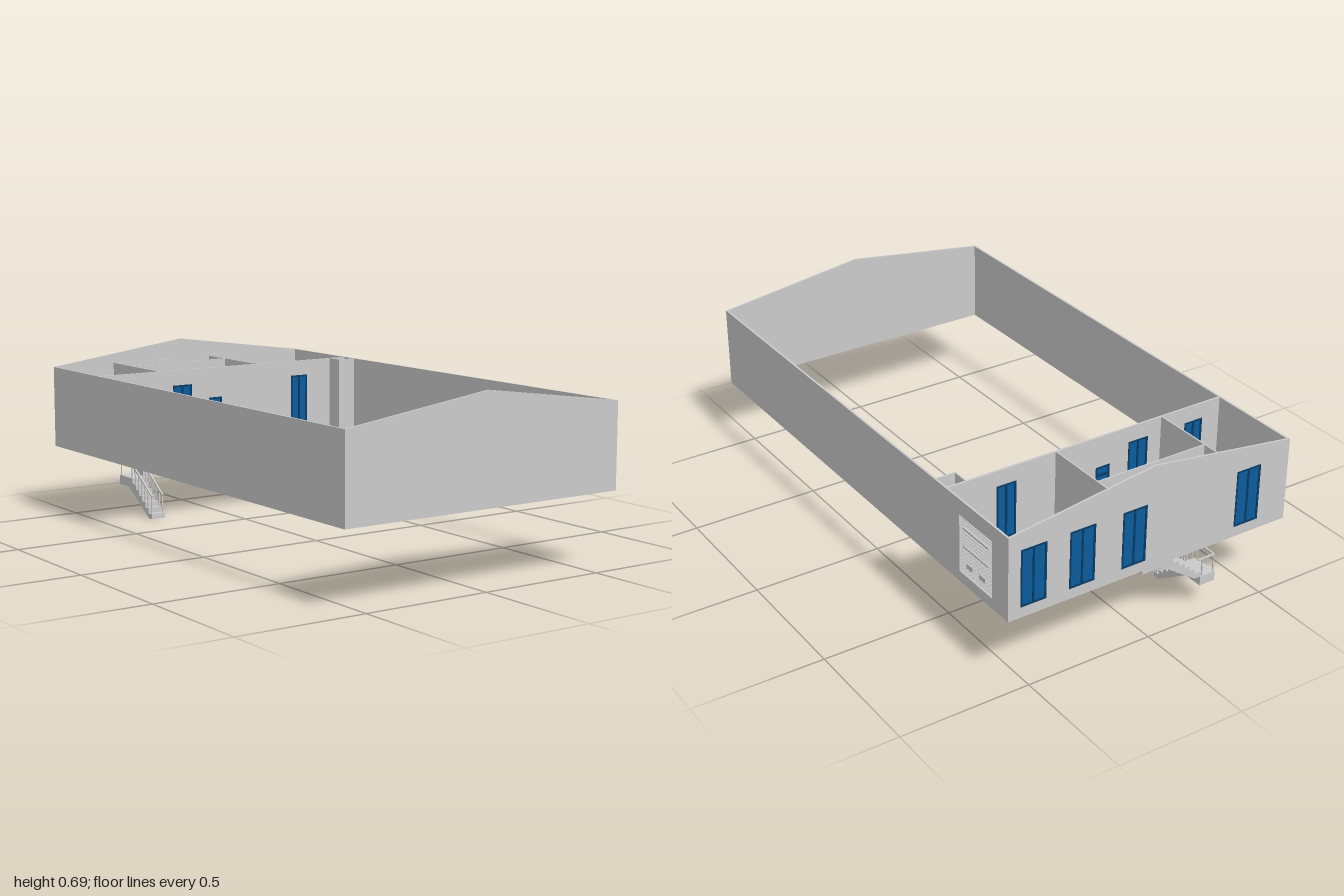
import * as THREE from 'three';

const grey = new THREE.MeshStandardMaterial({ color: 0xcccccc, side: THREE.DoubleSide });
const blue = new THREE.MeshStandardMaterial({ color: 0x0b5c9c });
const darkBlue = new THREE.MeshStandardMaterial({ color: 0x083c66 });

const W = 0.585, T = 0.008, BASE = 0.285, EAVE = 0.605, RIDGE = 0.685, ROOM = -0.63;

export function createModel() {
  const model = new THREE.Group();
  const add = (name, geometry, material = grey, parent = model) => {
    const mesh = new THREE.Mesh(geometry, material);
    mesh.name = name;
    parent.add(mesh);
    return mesh;
  };
  // box given by its low and high corners
  const box = (name, x0, x1, y0, y1, z0, z1, material, parent) => {
    const m = add(name, new THREE.BoxGeometry(x1 - x0, y1 - y0, z1 - z0), material, parent);
    m.position.set((x0 + x1) / 2, (y0 + y1) / 2, (z0 + z1) / 2);
    return m;
  };
  // upright slab from an outline, with rectangular openings [x0, x1, y0, y1]
  const slab = (name, outline, openings, depth = T) => {
    const shape = new THREE.Shape(outline.map(p => new THREE.Vector2(...p)));
    for (const [a, b, c, d] of openings) {
      shape.holes.push(new THREE.Path([[a, c], [a, d], [b, d], [b, c]].map(p => new THREE.Vector2(...p))));
    }
    return add(name, new THREE.ExtrudeGeometry(shape, { depth, bevelEnabled: false }));
  };
  // thin bar between two points
  const bar = (name, a, b, parent, r = 0.002) => {
    const p = new THREE.Vector3(...a), q = new THREE.Vector3(...b);
    const m = add(name, new THREE.BoxGeometry(r * 2, r * 2, p.distanceTo(q)), grey, parent);
    m.position.copy(p).add(q).multiplyScalar(0.5);
    m.lookAt(q);
  };
  // two-leaf window filling an opening
  const glazing = ([x0, x1, y0, y1], z, transom) => {
    const g = new THREE.Group();
    g.name = 'window';
    model.add(g);
    const f = 0.007, z0 = z - 0.001, z1 = z + T + 0.001, mid = (x0 + x1) / 2;
    box('glass', x0, x1, y0, y1, z + 0.002, z + T - 0.002, blue, g);
    for (const x of [x0, x1 - f]) box('frameSide', x, x + f, y0, y1, z0, z1, darkBlue, g);
    for (const y of [y0, y1 - f]) box('frameRail', x0, x1, y, y + f, z0, z1, darkBlue, g);
    if (transom) box('transom', x0, x1, y1 - 0.04, y1 - 0.03, z0, z1, darkBlue, g);
    else box('mullion', mid - f / 2, mid + f / 2, y0, y1, z0, z1, darkBlue, g);
  };

  // gabled end walls
  const gable = [[-W, BASE], [W, BASE], [W, EAVE], [0, RIDGE], [-W, EAVE]];
  const backWindows = [[0.435, 0.537], [0.241, 0.344], [0.03, 0.13], [-0.46, -0.355]].map(w => [...w, 0.325, 0.545]);
  slab('frontWall', gable, []).position.z = 1 - T;
  slab('backWall', gable, backWindows).position.z = -1;
  backWindows.forEach(w => glazing(w, -1));

  // long side walls; the left one carries the louvre opening
  box('rightWall', -W, -W + T, BASE, EAVE, -1, 1);
  const louvre = [0.71, 0.905, 0.325, 0.545];
  const side = slab('leftWall', [[-1, BASE], [1, BASE], [1, EAVE], [-1, EAVE]], [louvre]);
  side.rotation.y = Math.PI / 2;
  side.position.x = W - T;

  // louvre panel with slanted slats, two bars and two small vents
  const panel = new THREE.Group();
  panel.name = 'louvrePanel';
  model.add(panel);
  box('louvreBack', W - T, W - T + 0.002, 0.325, 0.545, -0.905, -0.71, grey, panel);
  for (let i = 0; i < 18; i++) {
    const s = box('louvreSlat', W - 0.007, W, 0, 0.0015, -0.905, -0.71, grey, panel);
    s.position.y = 0.331 + i * 0.0122;
    s.rotation.z = -0.7;
  }
  for (const y of [0.435, 0.505]) box('louvreBar', W - 0.006, W + 0.001, y - 0.003, y + 0.003, -0.885, -0.735, grey, panel);
  for (const z of [-0.772, -0.847]) box('vent', W - 0.006, W + 0.001, 0.36, 0.378, z - 0.018, z + 0.018, grey, panel);

  // wall closing the rooms, with windows and a narrow door
  const innerWindows = [[-0.5, -0.42, 0.33, 0.545], [-0.255, -0.17, 0.33, 0.545], [-0.09, -0.03, 0.33, 0.485], [0.305, 0.385, 0.33, 0.545]];
  slab('innerWall', [[-W, BASE], [W, BASE], [W, EAVE], [-W, EAVE]], innerWindows).position.z = ROOM;
  innerWindows.forEach((w, i) => glazing(w, ROOM, i === 2));

  // room floor with the stair opening
  const floor = slab('floor', [[-W, -ROOM], [W, -ROOM], [W, 1], [-W, 1]], [[-0.31, -0.02, 0.888, 0.972]], 0.01);
  floor.rotation.x = -Math.PI / 2;
  floor.position.y = BASE;

  // partitions
  for (const x of [-0.315, 0.14]) box('partition', x - 0.003, x + 0.003, BASE, EAVE, -1, ROOM);
  box('corridorWall', -0.315, 0.14, BASE, EAVE, -0.871, -0.865);
  box('stairLining', -0.315, -0.012, BASE, EAVE, -0.978, -0.972);
  box('stairLiningEnd', -0.018, -0.012, BASE, EAVE, -1, -0.972);

  // small corner shaft
  box('shaftFloor', 0.5, W, BASE, BASE + 0.01, ROOM, -0.555);
  box('shaftSide', 0.5, 0.506, BASE, EAVE, ROOM, -0.555);
  box('shaftFront', 0.5, W, BASE, EAVE, -0.561, -0.555);

  // staircase: two flights at right angles, joined by a landing
  const stair = new THREE.Group();
  stair.name = 'staircase';
  model.add(stair);
  box('landing', -0.31, -0.245, 0.105, 0.143, -0.97, -0.89, grey, stair);
  box('topPlatform', -0.07, 0.015, 0.245, 0.287, -0.97, -0.89, grey, stair);
  // stepped side profile of n steps, rising from (0, 0), with a sloped soffit
  const flight = (name, n, run, rise, width) => {
    const s = new THREE.Shape();
    s.moveTo(0, 0);
    for (let i = 0; i < n; i++) {
      s.lineTo(i * run, (i + 1) * rise);
      s.lineTo((i + 1) * run, (i + 1) * rise);
    }
    s.lineTo(n * run, n * rise - 0.04);
    s.lineTo(run, 0);
    const m = add(name, new THREE.ExtrudeGeometry(s, { depth: width, bevelEnabled: false }), grey, stair);
    return m;
  };
  flight('upperFlight', 7, 0.025, 0.0203, 0.08).position.set(-0.245, 0.143, -0.97);
  const lower = flight('lowerFlight', 7, 0.0257, 0.0204, 0.06);
  lower.rotation.y = Math.PI / 2;
  lower.position.set(-0.31, 0, -0.71);

  // handrails and balusters
  for (const x of [-0.305, -0.255]) {
    bar('lowerRail', [x, 0.09, -0.715], [x, 0.212, -0.89], stair, 0.003);
    for (let i = 0; i < 7; i++) {
      const z = -0.72 - i * 0.0257;
      bar('baluster', [x, (i + 1) * 0.0204, z], [x, 0.092 + i * 0.018, z], stair);
    }
  }
  bar('landingRail', [-0.305, 0.212, -0.965], [-0.235, 0.212, -0.965], stair, 0.003);
  bar('landingRail', [-0.305, 0.212, -0.965], [-0.305, 0.212, -0.89], stair, 0.003);
  for (const x of [-0.305, -0.255]) bar('landingPost', [x, 0.143, -0.965], [x, 0.212, -0.965], stair);
  bar('upperRail', [-0.235, 0.212, -0.893], [-0.065, 0.325, -0.893], stair, 0.003);
  bar('platformRail', [-0.065, 0.325, -0.893], [0.01, 0.325, -0.893], stair, 0.003);
  for (let i = 0; i < 7; i++) {
    const x = -0.233 + i * 0.025;
    bar('baluster', [x, 0.143 + (i + 1) * 0.0203, -0.893], [x, 0.213 + i * 0.0166, -0.893], stair);
  }
  bar('platformPost', [0.01, 0.287, -0.893], [0.01, 0.325, -0.893], stair);

  return model;
}
